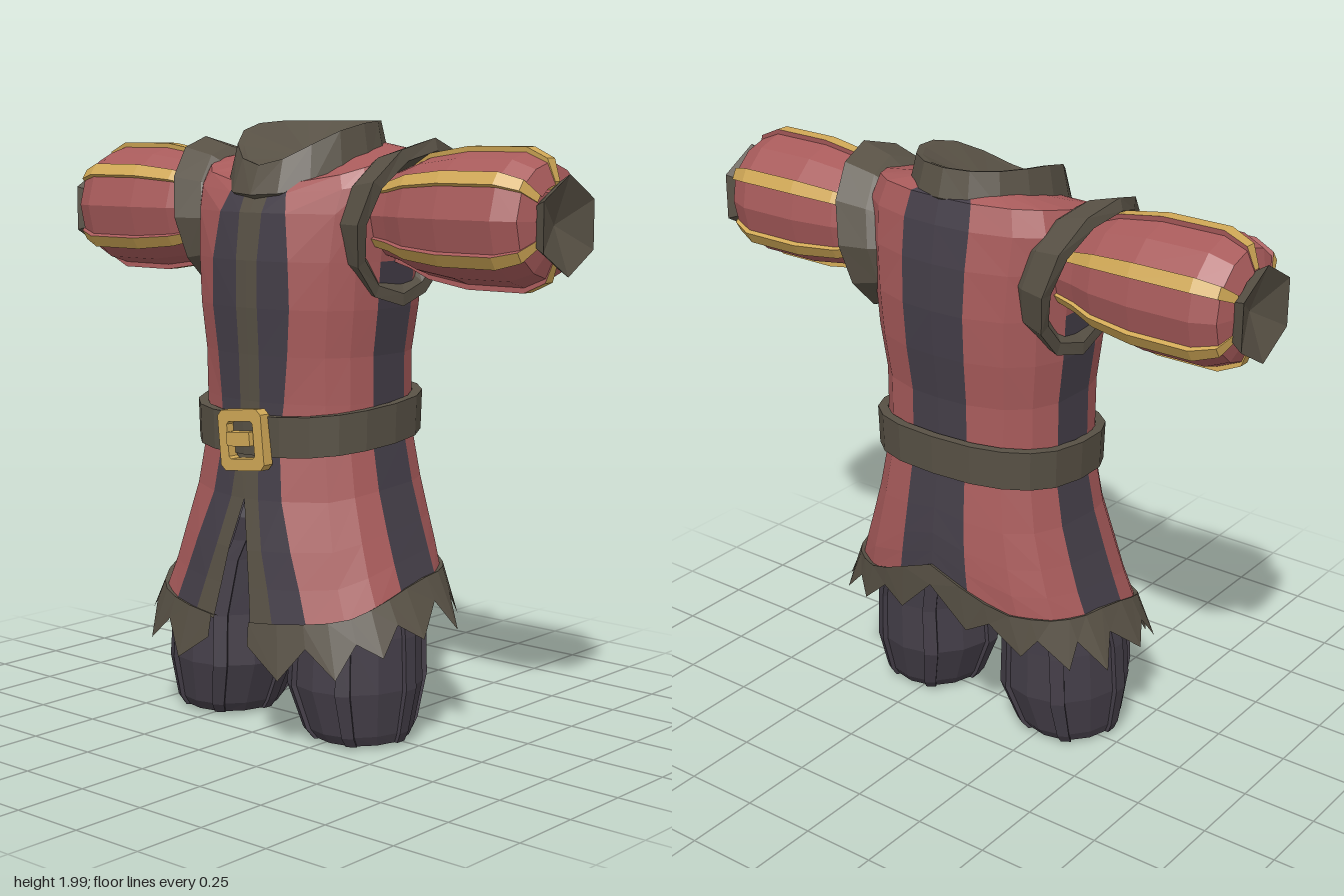
import * as THREE from 'three';

const paint = (name, color) => new THREE.MeshStandardMaterial({ name, color, side: THREE.DoubleSide });

// [level, half width, front z, back z, drop of the front neckline]
const PROFILE = [
  [0.22, 0.60, 0.37, -0.32, 0], [0.40, 0.53, 0.345, -0.335, 0], [0.50, 0.475, 0.33, -0.345, 0],
  [0.62, 0.43, 0.315, -0.36, 0], [0.80, 0.37, 0.28, -0.352, 0], [0.96, 0.335, 0.26, -0.33, 0],
  [1.10, 0.335, 0.255, -0.315, 0], [1.25, 0.335, 0.26, -0.315, 0], [1.40, 0.355, 0.27, -0.335, 0],
  [1.55, 0.365, 0.27, -0.345, 0], [1.70, 0.38, 0.25, -0.338, 0], [1.82, 0.39, 0.22, -0.32, 0.06],
  [1.90, 0.36, 0.195, -0.295, 0.11], [1.925, 0.21, 0.14, -0.24, 0.14],
];
// [level, opening edge x, centre trim x, dark stripe x]
const SEAMS = [
  [0.28, 0.10, 0.19, 0.32], [0.42, 0.075, 0.165, 0.285], [0.62, 0.04, 0.10, 0.21],
  [0.78, 0, 0.06, 0.15], [0.95, 0, 0.04, 0.12], [1.40, 0, 0.045, 0.165],
  [1.60, 0, 0.045, 0.16], [1.80, 0, 0.05, 0.12],
];
// [angle, level where the ragged hem starts]
const HEM = [[0, 0.4], [0.8, 0.44], [1.57, 0.54], [2.2, 0.55], [2.6, 0.565], [2.85, 0.61], [Math.PI, 0.68]];
const COLUMNS = [0.2, 0.35, 0.55, 0.8, 1.1, 1.39, 1.8, 2.15, 2.5, 2.9, Math.PI];
const ZC = -0.04;

function sample(table, y) {
  if (y <= table[0][0]) return table[0];
  for (let i = 1; i < table.length; i++) {
    const a = table[i - 1], b = table[i];
    if (y <= b[0]) return a.map((v, k) => v + (b[k] - v) * (y - a[0]) / (b[0] - a[0]));
  }
  return table[table.length - 1];
}

// Point on the tunic: t runs from the front (0) round the left side to the back (PI)
function tunic(t, y, off = 0) {
  const [, rx, zf, zb, drop] = sample(PROFILE, y);
  const c = Math.cos(t), depth = (c > 0 ? zf - ZC : ZC - zb) + off;
  return [
    (rx + off) * Math.pow(Math.max(0, Math.sin(t)), 0.8),
    y - drop * ((1 + c) / 2) ** 2,
    ZC + depth * Math.sign(c) * Math.pow(Math.abs(c), 0.8),
  ];
}
const angleAt = (x, y) => Math.asin(Math.pow(x / sample(PROFILE, y)[1], 1.25));
const columnAngle = (i, y) => (i < 3 ? angleAt(sample(SEAMS, y)[i + 1], y) : COLUMNS[i]);
const hemLevel = (t) => sample(HEM, t)[1];

// Faceted surface over nu x nv cells; pick(u, v) chooses which cells are kept
function sheet(nu, nv, point, pick = () => true) {
  const pos = [];
  for (let u = 0; u < nu; u++) {
    for (let v = 0; v < nv; v++) {
      if (!pick(u, v)) continue;
      const a = point(u, v), b = point(u + 1, v), c = point(u + 1, v + 1), d = point(u, v + 1);
      pos.push(...a, ...b, ...c, ...a, ...c, ...d);
    }
  }
  const g = new THREE.BufferGeometry();
  g.setAttribute('position', new THREE.Float32BufferAttribute(pos, 3));
  g.computeVertexNormals();
  return g;
}

function mirrored(mesh) {
  const g = mesh.geometry.clone().scale(-1, 1, 1), p = g.attributes.position;
  for (let i = 0; i < p.count; i += 3) {
    const b = [p.getX(i + 1), p.getY(i + 1), p.getZ(i + 1)];
    p.setXYZ(i + 1, p.getX(i + 2), p.getY(i + 2), p.getZ(i + 2));
    p.setXYZ(i + 2, ...b);
  }
  g.computeVertexNormals();
  const m = new THREE.Mesh(g, mesh.material);
  m.name = mesh.name.replace('left', 'right');
  return m;
}

export function createModel() {
  const model = new THREE.Group();
  model.name = 'tunicOutfit';
  const red = paint('red cloth', 0xa85b5b), dark = paint('dark violet cloth', 0x443e48);
  const brown = paint('brown leather', 0x585145), gold = paint('gold', 0xd0a856);

  const add = (name, geometry, material) => {
    const m = new THREE.Mesh(geometry, material);
    m.name = name;
    model.add(m);
    return m;
  };
  const pair = (name, geometry, material) => model.add(mirrored(add('left' + name, geometry, material)));

  // Bodice and skirt, split by colour into vertical panels; side stripes end under the arms
  const levels = [0.96, 1.1, 1.25, 1.4, 1.55, 1.7, 1.82, 1.9, 1.925];
  const drops = [1, 0.8, 0.6, 0.33, 0];
  const bodice = (i, j) => tunic(columnAngle(i, levels[j]), levels[j]);
  const skirt = (i, j) => {
    const y = 0.98 + (hemLevel(COLUMNS[i]) - 0.02 - 0.98) * drops[j];
    return tunic(columnAngle(i, y), y);
  };
  const panels = [
    ['CentreTrim', brown, (i) => i === 0], ['FrontStripe', dark, (i) => i === 1],
    ['FrontPanel', red, (i) => i > 1 && i < 5], ['SideStripe', dark, (i, j) => i === 5 && j < 4],
    ['BackPanel', red, (i, j) => (i > 5 && i < 9) || (i === 5 && j > 3)], ['BackStripe', dark, (i) => i === 9],
  ];
  for (const [name, mat, pick] of panels) {
    pair('Bodice' + name, sheet(10, levels.length - 1, bodice, pick), mat);
    pair('Skirt' + name, sheet(10, drops.length - 1, skirt, pick), mat);
  }

  // Ragged hem: tips and notches alternate
  const teeth = 8;
  pair('Hem', sheet(teeth * 2, 2, (i, j) => {
    const start = angleAt(0.08, 0.4);
    const t = start + (Math.PI - start) * i / (teeth * 2), y = hemLevel(t);
    const length = i % 2 ? 0.16 + 0.02 * Math.sin(i * 2.3) : 0.075;
    return [tunic(t, y - 0.01, -0.02), tunic(t, y, 0.012), tunic(t, y - length, i % 2 ? 0.016 : 0.012)][j];
  }), brown);

  // Belt, riding higher at the back
  const beltEdge = [[0.026, -0.065], [0.03, 0.065], [0, 0.065], [0, -0.065], [0.026, -0.065]];
  pair('Belt', sheet(10, 4, (i, j) => {
    const t = Math.PI * i / 10, [off, dy] = beltEdge[j];
    const p = tunic(t, 1.03, off);
    p[1] = 1.03 - 0.035 * Math.cos(t) + dy;
    return p;
  }), brown);

  // Buckle with its prong
  const rect = (Type, w, h, c) => new Type([
    [-w + c, -h], [w - c, -h], [w, -h + c], [w, h - c], [w - c, h], [-w + c, h], [-w, h - c], [-w, -h + c],
  ].map(([x, y]) => new THREE.Vector2(x, y)));
  const frame = rect(THREE.Shape, 0.094, 0.098, 0.018);
  frame.holes.push(rect(THREE.Path, 0.056, 0.06, 0.008));
  const buckle = add('buckleFrame', new THREE.ExtrudeGeometry(frame, { depth: 0.04, bevelEnabled: false }), gold);
  buckle.position.set(0.012, 0.98, 0.272);
  buckle.rotation.z = 0.1;
  const prong = add('buckleProng', new THREE.BoxGeometry(0.1, 0.045, 0.05), gold);
  prong.position.set(0.012, 0.985, 0.3);
  prong.rotation.z = 0.1;

  // Collar dipping to the front, with a sunken neck opening
  const collarPoint = (i, j) => {
    const t = Math.PI * i / 8, c = Math.cos(t), s = Math.sin(t), f = (1 + c) / 2;
    const low = 1.9 - 0.145 * f, high = 1.988 - 0.14 * f ** 4;
    const [rx, zf, zb, y] = [
      [0.235, 0.2, -0.28, low - 0.03], [0.25, 0.25, -0.3, low],
      [0.225, 0.21, -0.275, high], [0.205, 0.19, -0.255, high - 0.005], [0, ZC, ZC, 1.87],
    ][j];
    return [rx * s, y, ZC + (c > 0 ? zf - ZC : ZC - zb) * c];
  };
  pair('Collar', sheet(8, 4, collarPoint), brown);

  // Flared armhole trim: [x, x gain towards the top, radius]
  const trim = [[0.29, 0.04, 0.2], [0.34, 0.045, 0.235], [0.435, 0.06, 0.265], [0.44, 0.065, 0.225], [0.35, 0.03, 0.15]];
  pair('ArmholeTrim', sheet(12, 4, (i, j) => {
    const a = Math.PI * 2 * i / 12, [x, gain, r] = trim[j];
    const side = Math.abs(Math.sin(a));
    return [x + gain * Math.cos(a) - 0.04 * side, 1.67 + r * Math.cos(a), -0.06 + r * 0.96 * Math.sin(a)];
  }), brown);

  // Puffed limb: six panels joined by raised seams; rows are [d, centreA, radiusA, centreB, radiusB]
  const puffed = (name, rows, place, seams, clothMat, seamMat) => {
    const w = 0.105, angle = (k) => seams[k % 6] + Math.PI * 2 * Math.floor(k / 6);
    const point = (i, j) => {
      const k = Math.floor(i / 5), a = angle(k), b = angle(k + 1);
      const t = [a - w, a + w, a + w, (a + b) / 2, b - w][i % 5];
      const [d, ca, ra, cb, rb] = rows[j], s = i % 5 < 2 ? 1.06 : 0.98;
      return place(d, ca + ra * s * Math.cos(t), cb + rb * s * Math.sin(t));
    };
    // each seam has a raised face and one small side wall on either edge
    const cloth = (i) => i % 5 === 2 || i % 5 === 3;
    pair(name + 'Cloth', sheet(30, rows.length - 1, point, cloth), clothMat);
    pair(name + 'Seams', sheet(30, rows.length - 1, point, (i) => i % 5 < 2), seamMat);
    pair(name + 'Folds', sheet(30, rows.length - 1, point, (i) => i % 5 === 4), clothMat === seamMat ? seamMat : clothMat);
  };
  const degrees = (list) => list.map(THREE.MathUtils.degToRad);
  const sleeve = [[0.34, 0.135], [0.42, 0.155], [0.5, 0.185], [0.65, 0.207], [0.86, 0.207], [0.935, 0.175], [0.96, 0.11]];
  puffed('Sleeve', sleeve.map(([x, r]) => [x, 1.693, r, -0.05, r]), (d, a, b) => [d, a, b],
    degrees([0, 54, 124, 180, 238, 298]), red, gold);
  const leg = [
    [0, 0.29, 0, 0.03, 0], [0.012, 0.29, 0.155, 0.035, 0.165], [0.045, 0.285, 0.172, 0.035, 0.19],
    [0.19, 0.267, 0.212, 0.03, 0.23], [0.36, 0.267, 0.203, 0.025, 0.225],
    [0.55, 0.235, 0.2, 0.01, 0.22], [0.62, 0.21, 0.2, 0, 0.215], [0.7, 0.18, 0.195, 0, 0.21], [0.88, 0.13, 0.15, -0.02, 0.18],
  ];
  puffed('Trouser', leg, (d, a, b) => [a, d, b], degrees([0, 60, 120, 180, 240, 300]), dark, dark);

  // Six-sided cuff with a sunken end
  const cuff = [[0.945, 0.115], [0.965, 0.13], [1, 0.152], [0.945, 0]];
  pair('Cuff', sheet(6, 3, (i, j) => {
    const a = Math.PI * i / 3, [x, r] = cuff[j];
    return [x, 1.68 + r * Math.cos(a), -0.055 + r * Math.sin(a)];
  }), brown);

  return model;
}
